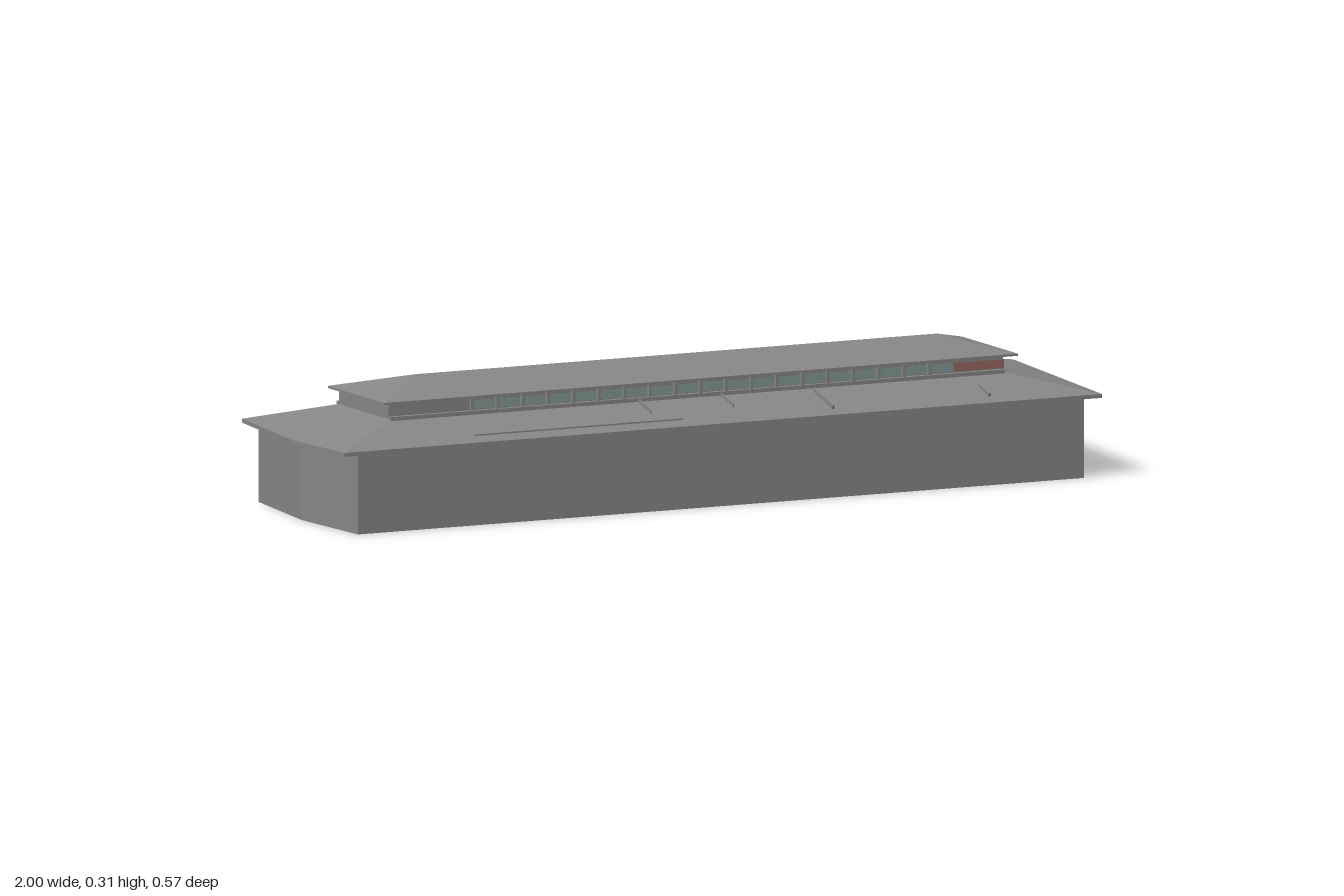
import * as THREE from 'three';

const grey = new THREE.MeshStandardMaterial({ color: 0x888888, flatShading: true, side: THREE.DoubleSide });
const glass = new THREE.MeshStandardMaterial({ color: 0x869c97 });
const red = new THREE.MeshStandardMaterial({ color: 0x9a6a64 });

// Plan outlines as [x, z], counter-clockwise seen from above
const wallPlan = [[-0.94, 0.275], [0.91, 0.275], [0.955, -0.243], [0.52, -0.273], [0.52, -0.255], [-0.925, -0.255], [-0.958, 0.03]];
const eavePlan = [[-0.98, 0.287], [0.95, 0.287], [1, -0.26], [0.51, -0.287], [0.51, -0.27], [-0.96, -0.27], [-1, 0.06]];
const roofTop = [[-0.79, 0.135], [0.775, 0.135], [0.775, -0.119], [0.6, -0.119], [0.51, -0.119], [-0.79, -0.119], [-0.79, 0.03]];
const rect = (x0, x1, z0, z1) => [[x0, z1], [x1, z1], [x1, z0], [x0, z0]];
const ring = (plan, y) => plan.map(([x, z]) => new THREE.Vector3(x, y, z));

// Skin a stack of equal-length rings; an optional centre closes the underside
function loft(rings, centre) {
  const pos = [];
  const tri = (a, b, c) => {
    if (new THREE.Triangle(a, b, c).getArea() > 1e-8) for (const p of [a, b, c]) pos.push(p.x, p.y, p.z);
  };
  const n = rings[0].length;
  for (let r = 0; r + 1 < rings.length; r++) {
    for (let i = 0; i < n; i++) {
      const j = (i + 1) % n, lo = rings[r], hi = rings[r + 1];
      tri(lo[i], lo[j], hi[j]);
      tri(lo[i], hi[j], hi[i]);
    }
  }
  if (centre) for (let i = 0; i < n; i++) tri(rings[0][(i + 1) % n], rings[0][i], centre);
  const g = new THREE.BufferGeometry();
  g.setAttribute('position', new THREE.Float32BufferAttribute(pos, 3));
  g.computeVertexNormals();
  return g;
}

export function createModel() {
  const model = new THREE.Group();
  const add = (name, geometry, material = grey) => {
    const m = new THREE.Mesh(geometry, material);
    m.name = name;
    model.add(m);
    return m;
  };
  // Box given by its limits
  const box = (name, x0, x1, y0, y1, z0, z1, material) => {
    const m = add(name, new THREE.BoxGeometry(x1 - x0, y1 - y0, z1 - z0), material);
    m.position.set((x0 + x1) / 2, (y0 + y1) / 2, (z0 + z1) / 2);
    return m;
  };

  // Outer walls, open at the bottom, with a ceiling inside
  const ceilingY = 0.13;
  add('walls', loft([ring(wallPlan, 0), ring(wallPlan, 0.184)]));
  add('ceiling', loft([ring(wallPlan, ceilingY)], new THREE.Vector3(0.6, ceilingY, 0)));

  // Small rooms standing against the inside of the walls
  box('frontRoom', -0.68, -0.55, 0, ceilingY, 0.12, 0.274);
  box('backRoom', 0.39, 0.515, 0, ceilingY, -0.254, -0.12);

  // Lower hipped roof with a thin eave and a flat soffit
  add('lowerRoof', loft([ring(eavePlan, 0.183), ring(eavePlan, 0.192), ring(roofTop, 0.235)],
    new THREE.Vector3(0.6, 0.183, 0)));

  // Clerestory storey
  const storey = rect(-0.79, 0.775, -0.117, 0.133);
  add('clerestory', loft([ring(storey, 0.225), ring(storey, 0.274)]));

  // Both long sides: curb, window band with mullions, and red end panel
  for (const s of [1, -1]) {
    const face = 0.008 + s * 0.125;
    const strip = (name, x0, x1, y0, y1, inner, outer, material) => {
      const a = face + s * inner, b = face + s * outer;
      return box(name, x0, x1, y0, y1, Math.min(a, b), Math.max(a, b), material);
    };
    strip('curb', -0.79, 0.775, 0.23, 0.241, 0, 0.012);
    strip('redPanel', 0.65, 0.777, 0.243, 0.263, -0.013, 0.001, red);
    const count = 19, pitch = 1.23 / count;
    for (let i = 0; i < count; i++) {
      const x = -0.58 + i * pitch;
      strip('windowPane', x + 0.004, x + pitch - 0.004, 0.243, 0.263, -0.004, 0.001, glass);
      strip('mullion', x - 0.004, x + 0.004, 0.24, 0.271, 0, 0.008);
    }
  }

  // Upper hipped roof rising to a ridge
  const upperEave = rect(-0.81, 0.805, -0.134, 0.15);
  const ridge = rect(-0.66, 0.67, 0.008, 0.008);
  add('upperRoof', loft([ring(upperEave, 0.271), ring(upperEave, 0.276), ring(ridge, 0.312)],
    new THREE.Vector3(0, 0.271, 0.008)));

  // Thin fins lying up the roof slopes: [x, outer z, inner z, height, thickness]
  const fins = [
    [-0.16, 0.21, 0.147, 0.012, 0.002], [0.05, 0.21, 0.147, 0.012, 0.002],
    [0.28, 0.258, 0.16, 0.014, 0.005], [0.68, 0.255, 0.2, 0.01, 0.005],
    ...[0.75, 0.47, 0.22, -0.05, -0.3, -0.57].map((x) => [x, -0.22, -0.14, 0.006, 0.002]),
  ];
  for (const [x, zo, zi, height, thickness] of fins) {
    const s = Math.sign(zo);
    const roofY = (z) => 0.192 + ((s > 0 ? 0.287 : 0.27) - Math.abs(z)) * 0.284;
    const dy = roofY(zi) - roofY(zo), dz = Math.abs(zo - zi);
    const fin = add('roofFin', new THREE.BoxGeometry(thickness, height, Math.hypot(dy, dz)));
    fin.position.set(x, (roofY(zi) + roofY(zo)) / 2 + 0.002, (zo + zi) / 2);
    fin.rotation.x = s * Math.atan2(dy, dz);
  }

  // Low guard rail along the front slope
  box('snowGuard', -0.63, -0.1, 0.2, 0.205, 0.245, 0.253);

  return model;
}
